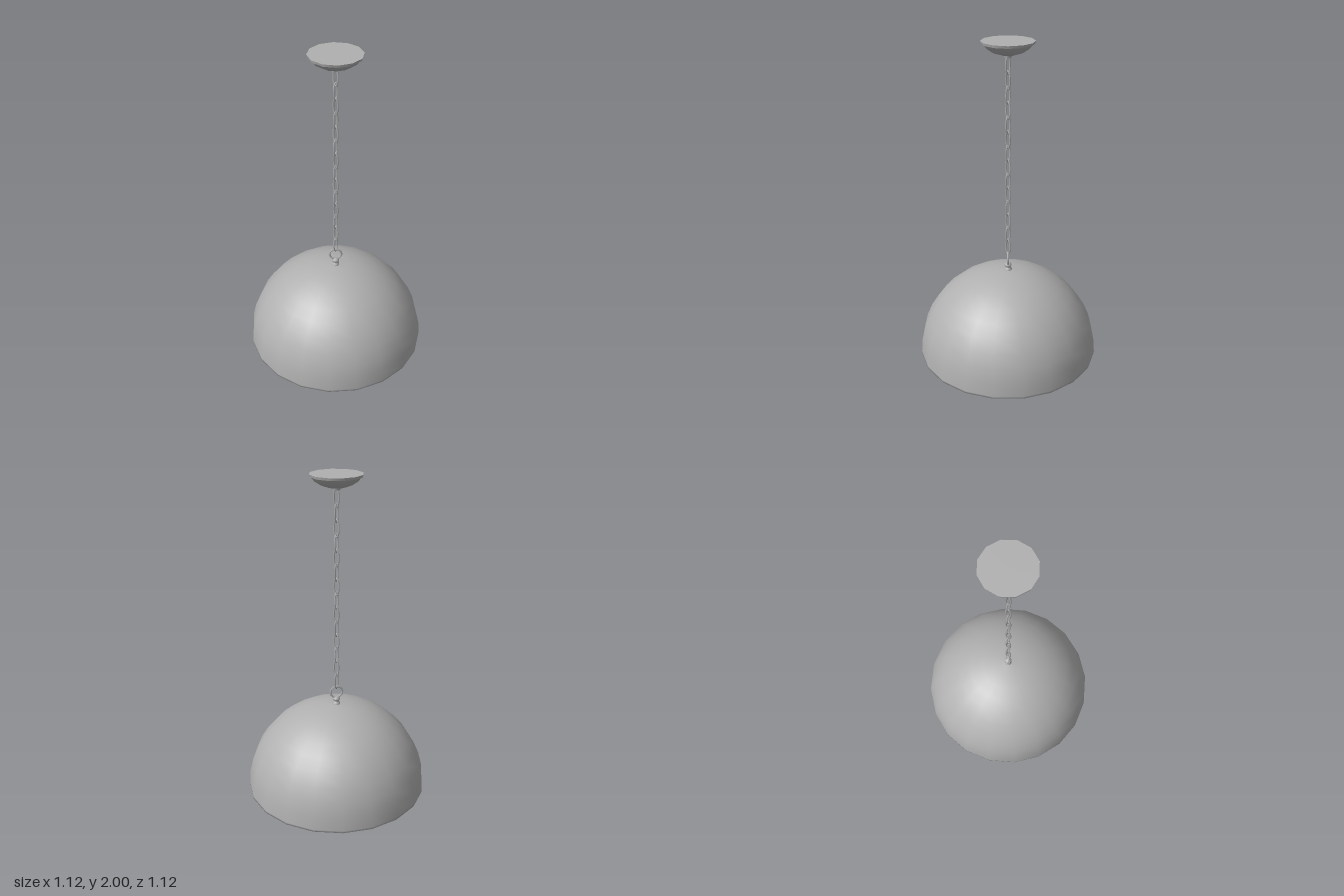
import * as THREE from 'three';

export function createModel() {
  const model = new THREE.Group();
  model.name = 'pendantLamp';
  const metal = new THREE.MeshStandardMaterial({ color: 0xb0b0b0 });
  metal.name = 'grey metal';
  metal.side = THREE.DoubleSide;

  const add = (name, geometry, parent = model) => {
    const mesh = new THREE.Mesh(geometry, metal);
    mesh.name = name;
    parent.add(mesh);
    return mesh;
  };
  const v2 = (x, y) => new THREE.Vector2(x, y);
  const lathe = (points, sides, start = 0) => new THREE.LatheGeometry(points, sides, start);

  // Hemispherical shade: quarter-circle profiles for the outer and inner skins
  const arc = (radius, height, base, steps = 10) =>
    Array.from({ length: steps + 1 }, (_, i) => {
      const a = (i / steps) * Math.PI / 2;
      return v2(Math.max(0, radius * Math.cos(a)), base + height * Math.sin(a));
    });
  const shade = new THREE.Group();
  shade.name = 'shade';
  model.add(shade);
  const offset = Math.PI / 20;
  add('shadeOuter', lathe(arc(0.565, 0.555, 0.012), 20, offset), shade);
  add('shadeInner', lathe(arc(0.555, 0.545, 0.012).reverse(), 20, offset), shade);
  add('shadeRim', lathe([v2(0.555, 0.012), v2(0.555, 0), v2(0.565, 0), v2(0.565, 0.012)], 20, offset), shade);

  // Stepped fitting on top of the shade
  const fitting = [[0.024, 0.56], [0.024, 0.575], [0.014, 0.58], [0.014, 0.59],
    [0.022, 0.594], [0.022, 0.606], [0.01, 0.614], [0, 0.616]];
  add('fitting', lathe(fitting.map(([x, y]) => v2(x, y)), 10));

  // Hanging ring
  add('hangingRing', new THREE.TorusGeometry(0.038, 0.006, 6, 12)).position.y = 0.647;

  // Chain of long links, each turned a quarter from the one below
  class LinkCurve extends THREE.Curve {
    getPoint(t, target = new THREE.Vector3()) {
      const a = t * Math.PI * 2;
      const s = Math.sin(a);
      return target.set(0.016 * Math.cos(a), 0.037 * s + 0.016 * Math.sign(s) * Math.sqrt(Math.abs(s)), 0);
    }
  }
  const linkGeometry = new THREE.TubeGeometry(new LinkCurve(), 16, 0.005, 5, true);
  const chain = new THREE.Group();
  chain.name = 'chain';
  model.add(chain);
  const links = 14, low = 0.725, high = 1.865;
  for (let i = 0; i < links; i++) {
    const link = add('chainLink', linkGeometry, chain);
    link.position.y = low + (high - low) * i / (links - 1);
    link.rotation.y = Math.PI / 4 + i * Math.PI / 2;
  }

  // Ceiling canopy: shallow bowl with a flat top and a small nub below
  const bowl = [[0, 1.922], [0.05, 1.925], [0.09, 1.938], [0.125, 1.96], [0.145, 1.985]];
  add('canopyBowl', lathe(bowl.map(([x, y]) => v2(x, y)), 12));
  add('canopyPlate', new THREE.CylinderGeometry(0.156, 0.152, 0.015, 12)).position.y = 1.9925;
  add('canopyNub', new THREE.CylinderGeometry(0.026, 0.022, 0.016, 10)).position.y = 1.917;

  return model;
}
